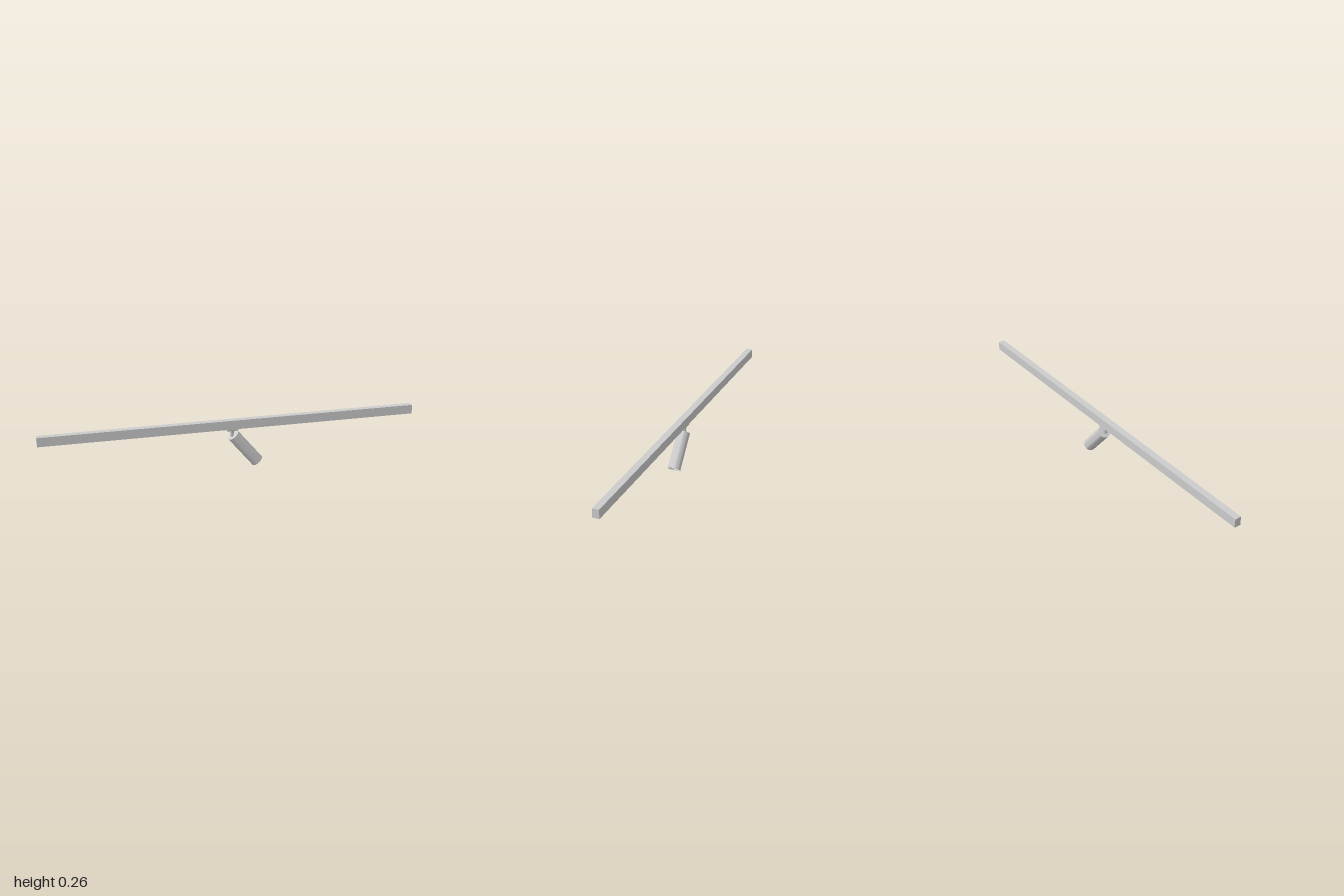
import * as THREE from 'three';
import { toCreasedNormals } from 'three/addons/utils/BufferGeometryUtils.js';

const material = new THREE.MeshStandardMaterial({ color: 0xcccccc });

function part(name, geometry, x, y, z = 0) {
  const mesh = new THREE.Mesh(geometry, material);
  mesh.name = name;
  mesh.position.set(x, y, z);
  return mesh;
}

const polygon = (points) => new THREE.Shape(points.map(([x, y]) => new THREE.Vector2(x, y)));
const lathe = (points, sides) => toCreasedNormals(
  new THREE.LatheGeometry(points.map(([r, y]) => new THREE.Vector2(r, y)), sides), 0.6);

export function createModel() {
  const model = new THREE.Group();
  model.name = 'trackSpotlight';

  // Ceiling track: a channel section, open below, run along x
  const bottom = 0.213, height = 0.048, half = 0.0175, slot = 0.007, wall = 0.003, cap = 0.004;
  const inner = half - wall;
  const section = polygon([
    [-half, 0], [-slot, 0], [-slot, wall], [-inner, wall], [-inner, height - wall],
    [inner, height - wall], [inner, wall], [slot, wall], [slot, 0], [half, 0],
    [half, height], [-half, height],
  ]);
  const rail = new THREE.ExtrudeGeometry(section, { depth: 2 - 2 * cap, bevelEnabled: false });
  rail.translate(0, 0, -1 + cap).rotateY(Math.PI / 2);
  model.add(part('track', rail, 0, bottom));

  // Closed ends of the track
  for (const side of [-1, 1]) {
    model.add(part(side > 0 ? 'leftEndCap' : 'rightEndCap',
      new THREE.BoxGeometry(cap, height, 2 * half),
      side * (1 - cap / 2), bottom + height / 2));
  }

  // Adapter plate clipped under the track, with chamfered long edges
  const plate = new THREE.ExtrudeGeometry(polygon([
    [-0.014, -0.009], [0.014, -0.009], [0.0175, -0.005], [0.0175, 0], [-0.0175, 0], [-0.0175, -0.005],
  ]), { depth: 0.06, bevelEnabled: false });
  plate.translate(0, 0, -0.03).rotateY(Math.PI / 2);
  model.add(part('adapter', plate, 0, bottom));

  // Neck and swivel between the adapter and the lamp
  model.add(part('neck', lathe([[0, -0.028], [0.008, -0.028], [0.01, -0.012], [0.012, 0], [0, 0]], 24), 0, 0.206));
  const pin = new THREE.CylinderGeometry(0.008, 0.008, 0.018, 24).rotateX(Math.PI / 2);
  model.add(part('swivel', pin, 0, 0.176));

  // Tilted lamp housing with a thin rim and a recessed lens
  const radius = 0.033, length = 0.202, rim = 0.0315, recess = 0.02;
  const lamp = new THREE.Group();
  lamp.name = 'lampHead';
  lamp.position.set(0.137, 0.0213, 0);
  lamp.rotation.z = THREE.MathUtils.degToRad(40);
  lamp.add(part('housing', lathe([
    [rim, recess], [rim, 0], [radius, 0], [radius, length], [0, length],
  ], 48), 0, 0));
  lamp.add(part('lens', new THREE.CircleGeometry(rim, 48).rotateX(Math.PI / 2), 0, recess));
  model.add(lamp);

  return model;
}
